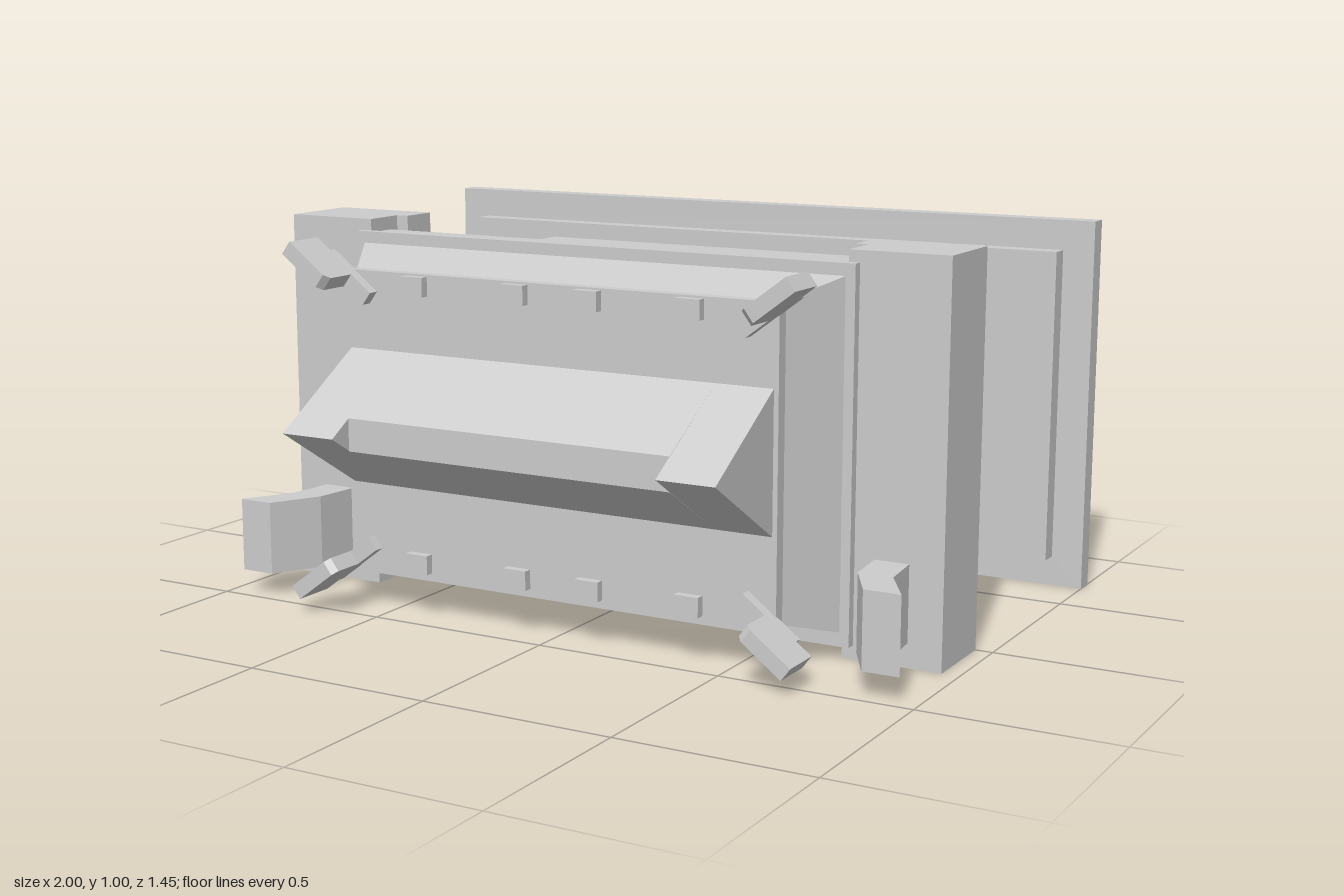
import * as THREE from 'three';

const V = (x, y, z) => new THREE.Vector3(x, y, z);

export function createModel() {
  const model = new THREE.Group();
  const material = new THREE.MeshStandardMaterial({ color: 0xcccccc, flatShading: true });

  function add(name, geometry) {
    const mesh = new THREE.Mesh(geometry, material);
    mesh.name = name;
    model.add(mesh);
    return mesh;
  }
  // Box given by its limits on each axis
  function box(name, x0, x1, y0, y1, z0, z1) {
    const g = new THREE.BoxGeometry(Math.abs(x1 - x0), y1 - y0, z1 - z0);
    g.translate((x0 + x1) / 2, (y0 + y1) / 2, (z0 + z1) / 2);
    return add(name, g);
  }
  // Outline extruded symmetrically by depth; u and v are the outline's axes in space
  function prism(name, points, depth, u, v, origin, hole) {
    const shape = new THREE.Shape(points.map(p => new THREE.Vector2(...p)));
    if (hole) shape.holes.push(new THREE.Path(hole.map(p => new THREE.Vector2(...p))));
    const g = new THREE.ExtrudeGeometry(shape, { depth, bevelEnabled: false });
    g.translate(0, 0, -depth / 2);
    const w = u.clone().cross(v);
    g.applyMatrix4(new THREE.Matrix4().makeBasis(u, v, w).setPosition(origin));
    return add(name, g);
  }
  const rect = (x0, x1, y0, y1) => [[x0, y0], [x1, y0], [x1, y1], [x0, y1]];
  const octagon = (r, cx, cy) => Array.from({ length: 8 }, (_, i) =>
    [cx + r * Math.cos(i * Math.PI / 4), cy + r * Math.sin(i * Math.PI / 4)]);
  const X = V(1, 0, 0), Y = V(0, 1, 0), Z = V(0, 0, 1);

  // Back rim, its rear face sloping in towards the opening
  const rim = prism('backRim', rect(-1, 1, 0, 1), 0.055, X, Y, V(0, 0, -0.6975), rect(-0.91, 0.91, 0.085, 0.915));
  const r = rim.geometry.attributes.position;
  for (let i = 0; i < r.count; i++) {
    if (Math.abs(r.getX(i)) < 0.95 && r.getZ(i) < -0.7) r.setZ(i, -0.674);
  }
  rim.geometry.computeVertexNormals();

  // Sunken tray behind the rim, with a notched door panel on its floor
  prism('backTray', rect(-0.915, 0.915, 0.08, 0.92), 0.053, X, Y, V(0, 0, -0.6445), rect(-0.907, 0.907, 0.088, 0.912));
  box('trayFloor', -0.91, 0.91, 0.085, 0.915, -0.626, -0.618);
  const half = [[0.64, 0.875], [0.64, 0.22], [0.378, 0.22], [0.37, 0.19], [0.222, 0.19], [0.214, 0.22], [0.14, 0.22], [0.14, 0.31]];
  prism('backPanel', [...half, ...half.map(([x, y]) => [-x, y]).reverse()], 0.02, X, Y, V(0, 0, -0.626));

  // Main body with octagonal side bosses
  box('body', -0.645, 0.645, 0.22, 0.875, -0.62, 0.1);
  for (const s of [-1, 1]) {
    prism('sideBoss', octagon(0.12, -0.15, 0.54), 0.02, Z, Y, V(s * 0.645, 0, 0));
  }

  // Underside rails, cross steps, drum and the ring around it
  for (const s of [-1, 1]) box('undersideRail', s * 0.4, s * 0.48, 0.18, 0.23, -0.62, -0.2);
  box('undersideRearBar', -0.48, 0.48, 0.18, 0.23, -0.62, -0.57);
  box('undersideMiddleStep', -0.46, 0.46, 0.155, 0.23, -0.2, -0.12);
  box('undersideFrontStep', -0.5, 0.5, 0.135, 0.23, -0.12, 0.02);
  prism('undersideDrum', octagon(0.11, 0, -0.36), 0.05, X, Z, V(0, 0.205, 0));
  prism('undersideRing', octagon(0.19, 0, -0.36), 0.04, X, Z, V(0, 0.21, 0), octagon(0.155, 0, -0.36));

  // Middle frame: block, sloped bars above and below, notched tabs and flange
  box('frameBlock', -0.66, 0.66, 0.125, 0.875, 0, 0.23);
  for (const m of [1, -1]) {
    const profile = [[0.065, 0.8], [0.065, 0.89], [0.14, 0.965], [0.235, 0.965], [0.235, 0.8]];
    prism('frameBar', profile.map(([z, y]) => [z, 0.5 + m * (y - 0.5)]), 1.385, Z, Y, V(0, 0, 0));
    for (const s of [-1, 1]) {
      const tab = [[0.32, 0], [0.67, 0], [0.67, 0.08], [0.295, 0.08], [0.295, 0.065]];
      prism('frameTab', tab.map(([x, z]) => [s * x, z]), 0.03, X, Z, V(0, 0.5 + m * 0.375, 0));
    }
  }
  box('flange', -0.724, 0.724, 0.035, 0.97, 0.222, 0.247);

  // Tapered nose between the flange and the front plate
  const nose = new THREE.BoxGeometry(1.4, 0.87, 0.165);
  const p = nose.attributes.position;
  for (let i = 0; i < p.count; i++) {
    if (p.getZ(i) > 0) p.setXY(i, p.getX(i) * 0.605 / 0.7, p.getY(i) * 0.385 / 0.435);
  }
  nose.computeVertexNormals();
  nose.translate(0, 0.505, 0.3275);
  add('taperedNose', nose);
  box('frontPlate', -0.62, 0.62, 0.115, 0.895, 0.402, 0.435);

  // Small blocks along both edges of the front plate
  for (const x of [-0.4, -0.1, 0.11, 0.39]) {
    for (const y of [0.145, 0.865]) box('frontLug', x - 0.033, x + 0.033, y - 0.025, y + 0.025, 0.43, 0.458);
  }

  // Front wedge, blunt in the middle and sharp at both ends
  prism('wedgeMiddle', [[0.433, 0.337], [0.657, 0.473], [0.657, 0.557], [0.433, 0.693]], 0.91, Z, Y, V(0, 0, 0));
  for (const s of [-1, 1]) {
    prism('wedgeEnd', [[0.433, 0.337], [0.724, 0.515], [0.433, 0.693]], 0.153, Z, Y, V(s * 0.531, 0, 0));
  }

  // Hooked clamps at the four corners
  const hook = [[-0.008, 0.43], [-0.008, 0.465], [0.065, 0.465], [0.065, 0.55], [0.08, 0.565], [0.21, 0.565], [0.21, 0.45], [0.16, 0.45], [0.16, 0.43]];
  for (const sx of [-1, 1]) {
    for (const sy of [-1, 1]) {
      prism('cornerClamp', hook, 0.04, V(sx * 0.8, sy * 0.6, 0), Z, V(sx * 0.541, 0.505 + sy * 0.326, 0));
    }
  }

  // Side pillars: hollow back, channelled insert and splayed arm
  const arm = [[0.775, 0.21], [0.865, 0.21], [0.88, 0.35], [0.955, 0.478], [0.86, 0.478], [0.79, 0.35]];
  for (const s of [-1, 1]) {
    const mirror = pts => pts.map(([x, y]) => [s * x, y]);
    box('pillarFront', s * 0.695, s * 0.955, 0, 1, 0.1, 0.222);
    prism('pillarBack', mirror(rect(0.66, 0.955, 0, 1)), 0.105, X, Y, V(0, 0, 0.0525),
      mirror(rect(0.7, 0.925, 0.04, 0.96)));
    box('insertBar', s * 0.74, s * 0.795, 0.08, 0.93, -0.095, 0.11);
    box('insertBar', s * 0.855, s * 0.91, 0.08, 0.93, -0.095, 0.11);
    box('insertWeb', s * 0.79, s * 0.86, 0.08, 0.93, -0.03, 0.11);
    box('insertFoot', s * 0.74, s * 0.91, 0.08, 0.12, -0.095, 0.11);
    box('insertCap', s * 0.74, s * 0.91, 0.89, 0.93, -0.095, 0.11);
    prism('splayedArm', mirror(arm), 0.195, X, Z, V(0, 0.16, 0));
  }

  return model;
}
